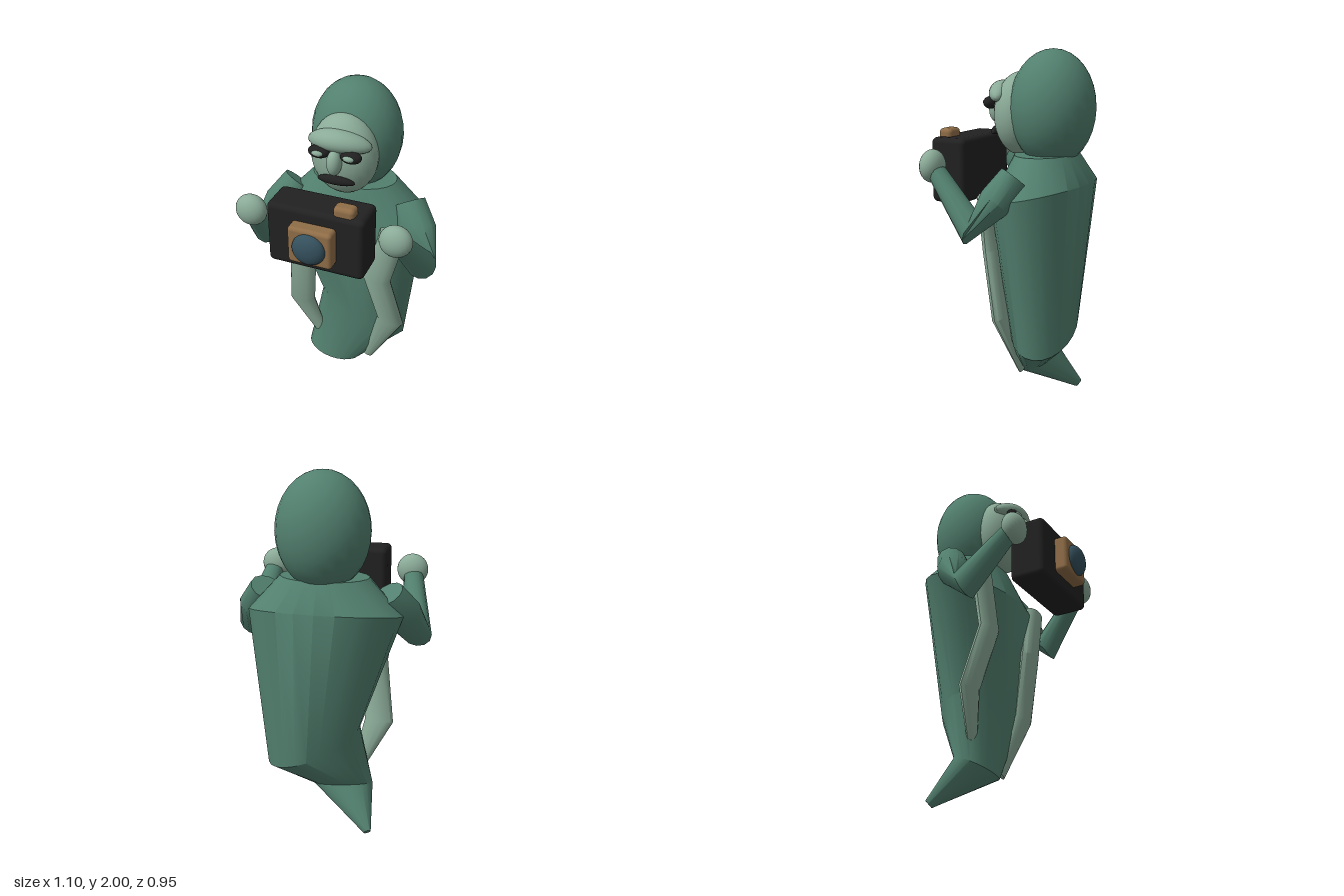
import * as THREE from 'three';
import { toCreasedNormals } from 'three/addons/utils/BufferGeometryUtils.js';
import { RoundedBoxGeometry } from 'three/addons/geometries/RoundedBoxGeometry.js';

const V = (x, y, z) => new THREE.Vector3(x, y, z);

function material(name, color) {
  const m = new THREE.MeshStandardMaterial({ color });
  m.name = name;
  return m;
}

// Skin a run of elliptical rings { c, u, v }, closed at both ends; travel runs along u x v.
function loft(rings, sides, crease) {
  const pos = [], index = [];
  for (const { c, u, v } of rings) {
    for (let j = 0; j < sides; j++) {
      const a = (j / sides) * Math.PI * 2;
      const p = c.clone().addScaledVector(u, Math.cos(a)).addScaledVector(v, Math.sin(a));
      pos.push(p.x, p.y, p.z);
    }
  }
  const first = rings[0].c, last = rings[rings.length - 1].c;
  const n = rings.length * sides;
  pos.push(first.x, first.y, first.z, last.x, last.y, last.z);
  for (let j = 0; j < sides; j++) {
    const k = (j + 1) % sides;
    for (let i = 0; i < rings.length - 1; i++) {
      const a = i * sides, b = a + sides;
      index.push(a + j, a + k, b + j, a + k, b + k, b + j);
    }
    index.push(n, k, j, n + 1, n - sides + j, n - sides + k);
  }
  const g = new THREE.BufferGeometry();
  g.setAttribute('position', new THREE.Float32BufferAttribute(pos, 3));
  g.setIndex(index);
  return toCreasedNormals(g, crease);
}

// Tapered limb through [x, y, z, half width, half depth] stations; side mirrors x.
function limb(stations, side, sides) {
  const pts = stations.map((s) => V(s[0] * side, s[1], s[2]));
  const rings = stations.map((s, i) => {
    const a = pts[Math.max(i - 1, 0)], b = pts[Math.min(i + 1, pts.length - 1)];
    const w = b.clone().sub(a).normalize();
    const u = V(1, 0, 0).addScaledVector(w, -w.x).normalize();
    const v = w.clone().cross(u);
    return { c: pts[i], u: u.multiplyScalar(s[3]), v: v.multiplyScalar(s[4]) };
  });
  return loft(rings, sides, 0.75);
}

export function createModel() {
  const group = new THREE.Group();
  const green = material('deep green', 0x52806f);
  const pale = material('pale green', 0x8bab98);
  const black = material('black', 0x212121);
  const brass = material('tan', 0x8f6d47);
  const glass = material('lens blue', 0x35515e);

  function add(name, geometry, mat) {
    const mesh = new THREE.Mesh(geometry, mat);
    mesh.name = name;
    group.add(mesh);
    return mesh;
  }
  // Ellipsoid with optional sagging ends (dropY, dropZ per x squared)
  function blob(name, mat, c, r, dropY = 0, dropZ = 0) {
    const g = new THREE.SphereGeometry(1, 24, 16).scale(...r);
    const p = g.attributes.position;
    for (let i = 0; i < p.count; i++) {
      const x2 = p.getX(i) ** 2;
      p.setXYZ(i, p.getX(i), p.getY(i) - dropY * x2, p.getZ(i) - dropZ * x2);
    }
    if (dropY || dropZ) g.computeVertexNormals();
    return add(name, g.translate(...c), mat);
  }
  function block(name, mat, min, max, radius) {
    const size = max.map((m, i) => m - min[i]);
    const g = new RoundedBoxGeometry(...size, 3, radius);
    return add(name, g.translate(...max.map((m, i) => (m + min[i]) / 2)), mat);
  }

  // Cloaked body curling into a pointed tail
  add('body', loft([
    { c: V(0, 1.45, -0.215), u: V(0.24, 0, 0), v: V(0, 0, 0.16) },
    { c: V(0, 1.25, -0.205), u: V(0.42, 0, 0), v: V(0, -0.05, 0.255) },
    { c: V(0.06, 0.5, -0.24), u: V(0.26, -0.115, 0), v: V(0, 0.05, 0.17) },
    { c: V(-0.09, 0.22, -0.145), u: V(0.17, -0.02, 0), v: V(0, -0.03, 0.095) },
    { c: V(-0.265, 0.02, -0.32), u: V(0.02, -0.01, 0), v: V(0, -0.015, 0.015) },
  ], 24, 0.6), green);

  // Head
  blob('hood', green, [0, 1.69, -0.245], [0.25, 0.31, 0.23]);
  blob('face', pale, [0, 1.655, -0.06], [0.185, 0.225, 0.14]);
  blob('brow', pale, [0, 1.775, 0.045], [0.175, 0.058, 0.066], 0.9, 1.2);
  blob('nose', pale, [0, 1.67, 0.09], [0.04, 0.07, 0.045]);
  blob('mouth', black, [0, 1.565, 0.078], [0.105, 0.025, 0.024], 1, 1.5);

  for (const side of [1, -1]) {
    const tag = side > 0 ? 'left' : 'right';
    blob(tag + 'Eye', black, [side * 0.088, 1.715, 0.08], [0.058, 0.034, 0.036]);
    blob(tag + 'Pupil', pale, [side * 0.085, 1.717, 0.105], [0.032, 0.017, 0.021]);

    // Bent arm and hand
    add(tag + 'Arm', limb([
      [0.33, 1.36, -0.18, 0.09, 0.08],
      [0.4, 1.24, -0.11, 0.11, 0.09],
      [0.465, 1.1, -0.005, 0.085, 0.085],
      [0.41, 1.37, 0.23, 0.055, 0.05],
    ], side, 12), green);
    blob(tag + 'Hand', pale, [side * 0.4, 1.4, 0.262], [0.088, 0.088, 0.063]);
  }

  // Trailing pale ribbons down the front
  add('leftRibbon', limb([
    [0.3, 1.25, -0.01, 0.075, 0.05],
    [0.22, 0.94, 0.005, 0.08, 0.045],
    [0.285, 0.59, -0.08, 0.08, 0.04],
    [0.13, 0.23, -0.13, 0.03, 0.015],
  ], 1, 12), pale);
  add('rightRibbon', limb([
    [0.29, 1.25, -0.01, 0.075, 0.05],
    [0.23, 0.94, 0.005, 0.08, 0.045],
    [0.28, 0.6, -0.08, 0.08, 0.04],
    [0.18, 0.35, -0.12, 0.038, 0.02],
  ], -1, 12), pale);

  // Box camera
  block('cameraBody', black, [-0.265, 1.175, 0.155], [0.265, 1.53, 0.36], 0.03);
  block('lensMount', brass, [-0.12, 1.25, 0.33], [0.12, 1.462, 0.43], 0.022);
  blob('lens', glass, [0, 1.355, 0.43], [0.09, 0.088, 0.045]);
  block('shutterButton', brass, [0.092, 1.5, 0.265], [0.207, 1.575, 0.345], 0.025);

  return group;
}
